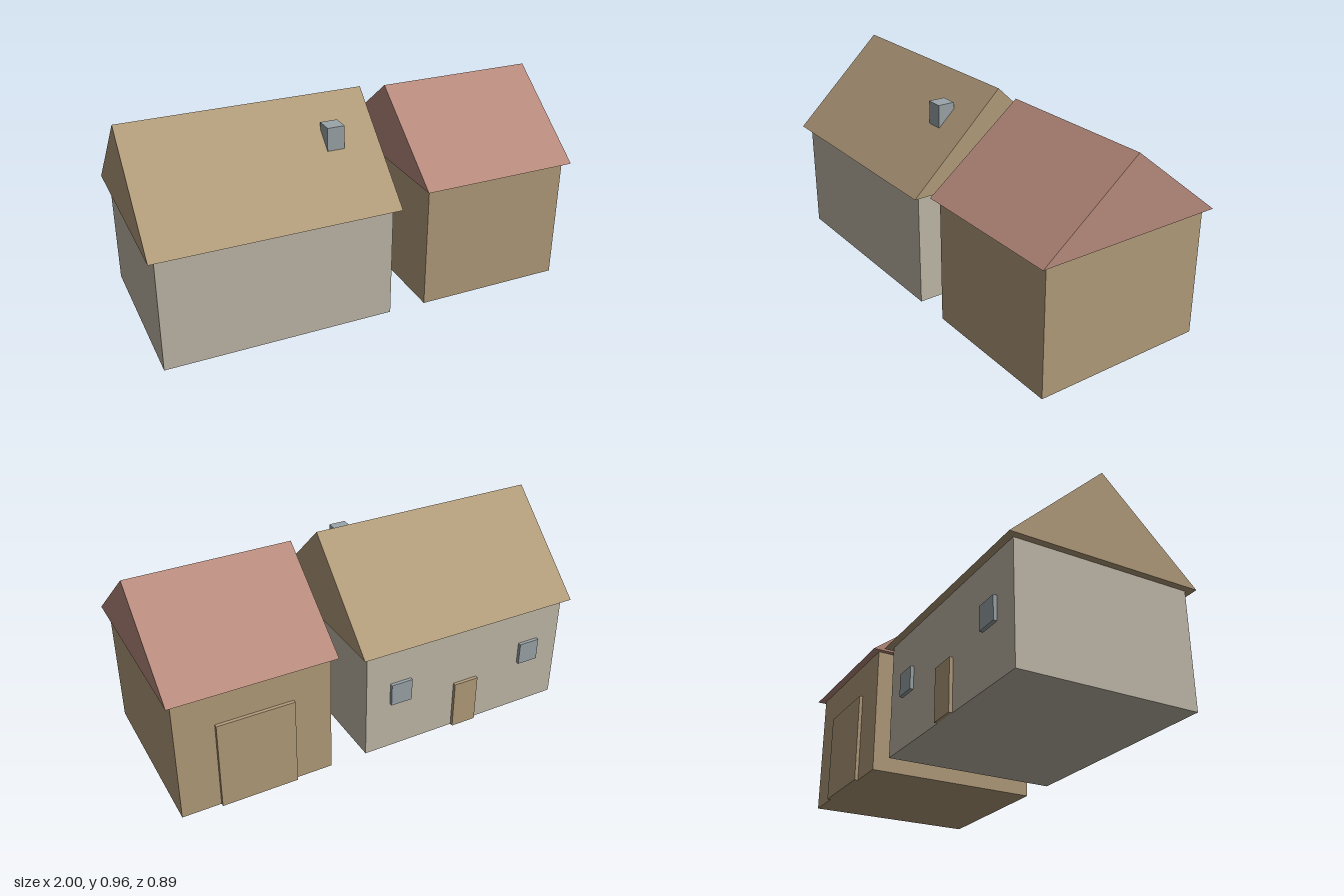
import * as THREE from 'three';

const material = (name, color) => {
  const m = new THREE.MeshStandardMaterial({ color });
  m.name = name;
  return m;
};

export function createModel() {
  const tan = material('tan', 0xb29c7b);
  const plaster = material('plaster', 0xc0b8a9);
  const red = material('redTile', 0xb98b7d);
  const grey = material('blueGrey', 0x9aa4a8);

  // Box given by its limits on each axis
  const box = (parent, name, mat, [x0, x1], [y0, y1], [z0, z1]) => {
    const mesh = new THREE.Mesh(new THREE.BoxGeometry(x1 - x0, y1 - y0, z1 - z0), mat);
    mesh.position.set((x0 + x1) / 2, (y0 + y1) / 2, (z0 + z1) / 2);
    mesh.name = name;
    parent.add(mesh);
  };

  // Solid gable roof with its ridge along x
  const roof = (parent, name, mat, [x0, x1], eave, ridge) => {
    const gable = new THREE.Shape();
    gable.moveTo(-0.445, eave);
    gable.lineTo(0.445, eave);
    gable.lineTo(0, ridge);
    gable.closePath();
    const geometry = new THREE.ExtrudeGeometry(gable, { depth: x1 - x0, bevelEnabled: false });
    geometry.rotateY(Math.PI / 2);
    geometry.translate(x0, 0, 0);
    const mesh = new THREE.Mesh(geometry, mat);
    mesh.name = name;
    parent.add(mesh);
  };

  const depth = [-0.41, 0.41];
  const panel = [-0.426, -0.41]; // doors and windows stand proud of the back wall

  // House
  const house = new THREE.Group();
  house.name = 'house';
  const mid = -0.44;
  box(house, 'houseWalls', plaster, [-0.97, 0.09], [0, 0.535], depth);
  roof(house, 'houseRoof', tan, [-1, 0.12], 0.535, 0.957);
  box(house, 'chimney', grey, [-0.13, -0.05], [0.72, 0.87], [0.125, 0.205]);
  box(house, 'houseDoor', tan, [mid - 0.063, mid + 0.063], [0, 0.237], panel);
  for (const [side, name] of [[1, 'leftWindow'], [-1, 'rightWindow']]) {
    const x = mid + side * 0.355;
    box(house, name, grey, [x - 0.053, x + 0.053], [0.24, 0.348], panel);
  }

  // Barn
  const barn = new THREE.Group();
  barn.name = 'barn';
  box(barn, 'barnWalls', tan, [0.267, 0.975], [0, 0.592], depth);
  roof(barn, 'barnRoof', red, [0.245, 1], 0.592, 0.944);
  box(barn, 'barnDoor', tan, [0.443, 0.798], [0, 0.425], panel);

  const model = new THREE.Group();
  model.name = 'farmBuildings';
  model.add(house, barn);
  return model;
}
